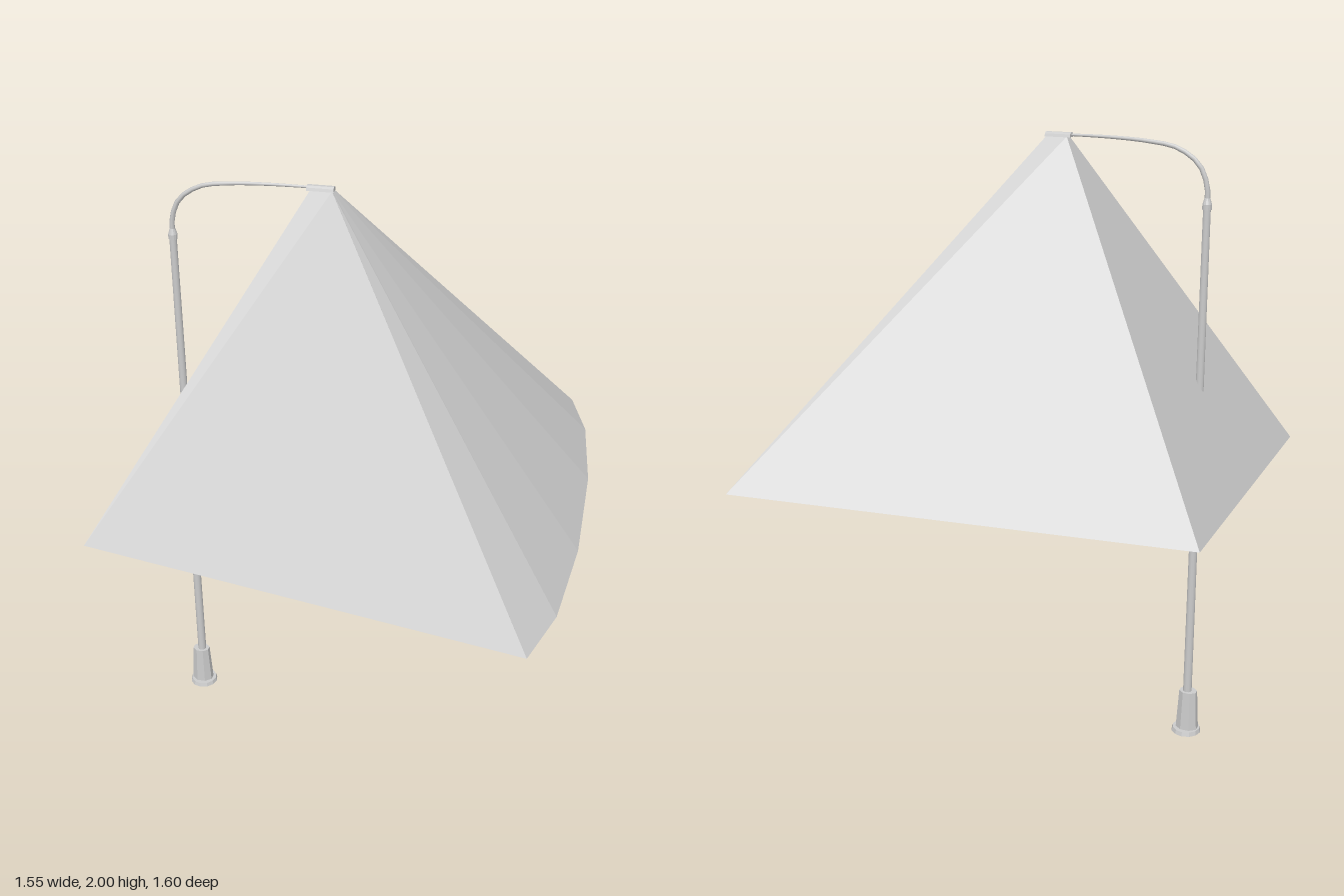
import * as THREE from 'three';

const Z = -0.02;        // depth of the pole and arm
const POLE_X = -0.59;

export function createModel() {
  const model = new THREE.Group();
  const grey = new THREE.MeshStandardMaterial({ color: 0xcccccc });
  const flat = new THREE.MeshStandardMaterial({ color: 0xcccccc, flatShading: true });
  const sheet = new THREE.MeshStandardMaterial({ color: 0xcccccc, flatShading: true, side: THREE.DoubleSide });

  const add = (name, geometry, material, x = 0, y = 0, z = 0) => {
    const mesh = new THREE.Mesh(geometry, material);
    mesh.name = name;
    mesh.position.set(x, y, z);
    model.add(mesh);
    return mesh;
  };

  // Foot: round flange and tapered, slightly elongated octagonal housing
  add('footFlange', new THREE.CylinderGeometry(0.046, 0.05, 0.014, 12), flat, POLE_X, 0.007, Z);
  const housing = new THREE.CylinderGeometry(0.031, 0.039, 0.14, 8);
  housing.rotateY(Math.PI / 8);
  add('footHousing', housing, flat, POLE_X - 0.003, 0.082, Z).scale.z = 0.82;

  // Pole with a collar at its top
  add('pole', new THREE.CylinderGeometry(0.012, 0.015, 1.66, 12), grey, POLE_X, 0.97, Z);
  const collar = [[0, 1.79], [0.015, 1.79], [0.015, 1.806], [0.009, 1.825], [0, 1.825]];
  add('collar', new THREE.LatheGeometry(collar.map(p => new THREE.Vector2(...p)), 12), flat, POLE_X, 0, Z);

  // Curved arm, thinning toward the lamp head
  const path = [[-0.59, 1.81], [-0.588, 1.86], [-0.56, 1.924], [-0.49, 1.97], [-0.4, 1.985], [-0.27, 1.992], [-0.13, 1.993]];
  const curve = new THREE.CatmullRomCurve3(path.map(([x, y]) => new THREE.Vector3(x, y, Z)));
  const steps = 16, sides = 8;
  const arm = new THREE.TubeGeometry(curve, steps, 1, sides);
  const pos = arm.attributes.position;
  const v = new THREE.Vector3();
  for (let i = 0; i < pos.count; i++) {
    const t = Math.floor(i / (sides + 1)) / steps;
    const c = curve.getPointAt(t);
    v.fromBufferAttribute(pos, i).sub(c).multiplyScalar(0.009 - 0.005 * t).add(c);
    pos.setXYZ(i, v.x, v.y, v.z);
  }
  add('arm', arm, grey);

  // Lamp head: small flattened half-round housing
  const profile = new THREE.Shape();
  profile.moveTo(-0.016, 0);
  profile.lineTo(0.016, 0);
  profile.lineTo(0.013, 0.009);
  profile.lineTo(0.006, 0.014);
  profile.lineTo(-0.006, 0.014);
  profile.lineTo(-0.013, 0.009);
  const head = new THREE.ExtrudeGeometry(profile, { depth: 0.085, bevelEnabled: false });
  head.rotateY(Math.PI / 2);
  add('lampHead', head, flat, -0.148, 1.986, Z);

  // Light cone: open sheet from the head down to a rim with one bowed side
  const rim = [
    [0.675, 0.95, 0.795], [0.74, 0.95, 0.58], [0.775, 0.95, 0.22],
    [0.775, 0.95, -0.23], [0.74, 0.95, -0.58], [0.675, 0.95, -0.8],
    [-0.777, 0.928, -0.605], [-0.777, 0.928, 0.495],
  ];
  const apex = rim.map(([x, , z]) => [
    x > 0 ? -0.068 : -0.136, 1.988, Z + THREE.MathUtils.clamp(z / 0.6, -1, 1) * 0.012,
  ]);
  const corners = [];
  rim.forEach((low, i) => {
    const j = (i + 1) % rim.length;
    corners.push(...low, ...rim[j], ...apex[j], ...low, ...apex[j], ...apex[i]);
  });
  const cone = new THREE.BufferGeometry();
  cone.setAttribute('position', new THREE.Float32BufferAttribute(corners, 3));
  cone.computeVertexNormals();
  add('lightCone', cone, sheet);

  return model;
}
